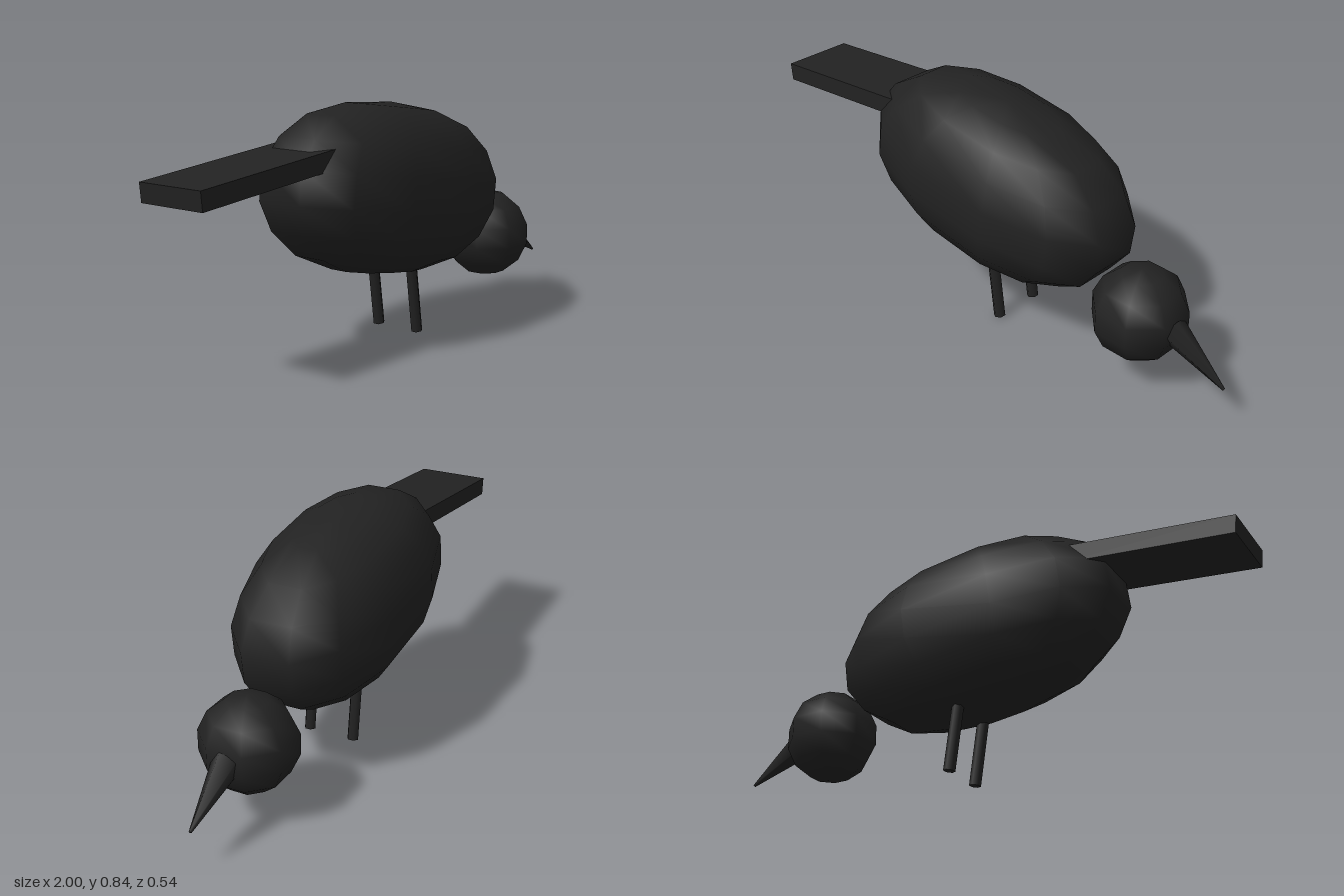
import * as THREE from 'three';
import { mergeVertices } from 'three/addons/utils/BufferGeometryUtils.js';

const black = new THREE.MeshStandardMaterial({ color: 0x222222 });
black.name = 'charcoal black';

// Plump oval body: a 12-sided lathe whose round section is reshaped to a long, blunt oval
function bodyGeometry() {
  const half = [[0, 0.303], [0.388, 0.286], [0.69, 0.237], [0.89, 0.157], [1, 0.057]];
  const profile = [
    ...half.map(([r, y]) => new THREE.Vector2(r, -y)),
    ...half.map(([r, y]) => new THREE.Vector2(r, y)).reverse(),
  ];
  const geo = new THREE.LatheGeometry(profile, 12, Math.PI / 12);
  const quarter = [[0.17, 0.27], [0.403, 0.204], [0.534, 0.088]];
  const right = [...quarter, ...quarter.map(([x, z]) => [x, -z]).reverse()];
  const ring = [...right, ...right.map(([x, z]) => [-x, -z])];
  const pos = geo.attributes.position;
  for (let i = 0; i < pos.count; i++) {
    const [x, z] = ring[Math.floor(i / profile.length) % 12];
    const r = profile[i % profile.length].x;
    pos.setX(i, x * r);
    pos.setZ(i, z * r);
  }
  geo.deleteAttribute('uv');
  geo.deleteAttribute('normal');
  const merged = mergeVertices(geo);
  merged.computeVertexNormals();
  return merged;
}

export function createModel() {
  const bird = new THREE.Group();
  bird.name = 'bird';

  const add = (name, geo, x, y, z = 0, tilt = 0) => {
    const mesh = new THREE.Mesh(geo, black);
    mesh.name = name;
    mesh.position.set(x, y, z);
    mesh.rotation.z = tilt;
    bird.add(mesh);
    return mesh;
  };

  // Body leans forward, towards +x
  add('body', bodyGeometry(), 0, 0.525, 0, -0.138);

  // Head
  add('head', new THREE.SphereGeometry(0.17, 8, 7).rotateY(Math.PI / 8), 0.645, 0.265);

  // Beak: five-sided taper pointing forward and down
  const beak = new THREE.CylinderGeometry(0.005, 0.052, 0.254, 5, 1, false, -1.38);
  add('beak', beak, 0.888, 0.2, 0, -Math.PI * 2 / 3);

  // Tail: flat plank
  add('tail', new THREE.BoxGeometry(0.62, 0.065, 0.262), -0.688, 0.657, 0, 0.096);

  // Legs
  for (const side of [1, -1]) {
    const leg = new THREE.CylinderGeometry(0.021, 0.021, 0.3, 6);
    add(side > 0 ? 'rightLeg' : 'leftLeg', leg, 0.062, 0.151, side * 0.087, 0.138);
  }

  return bird;
}
